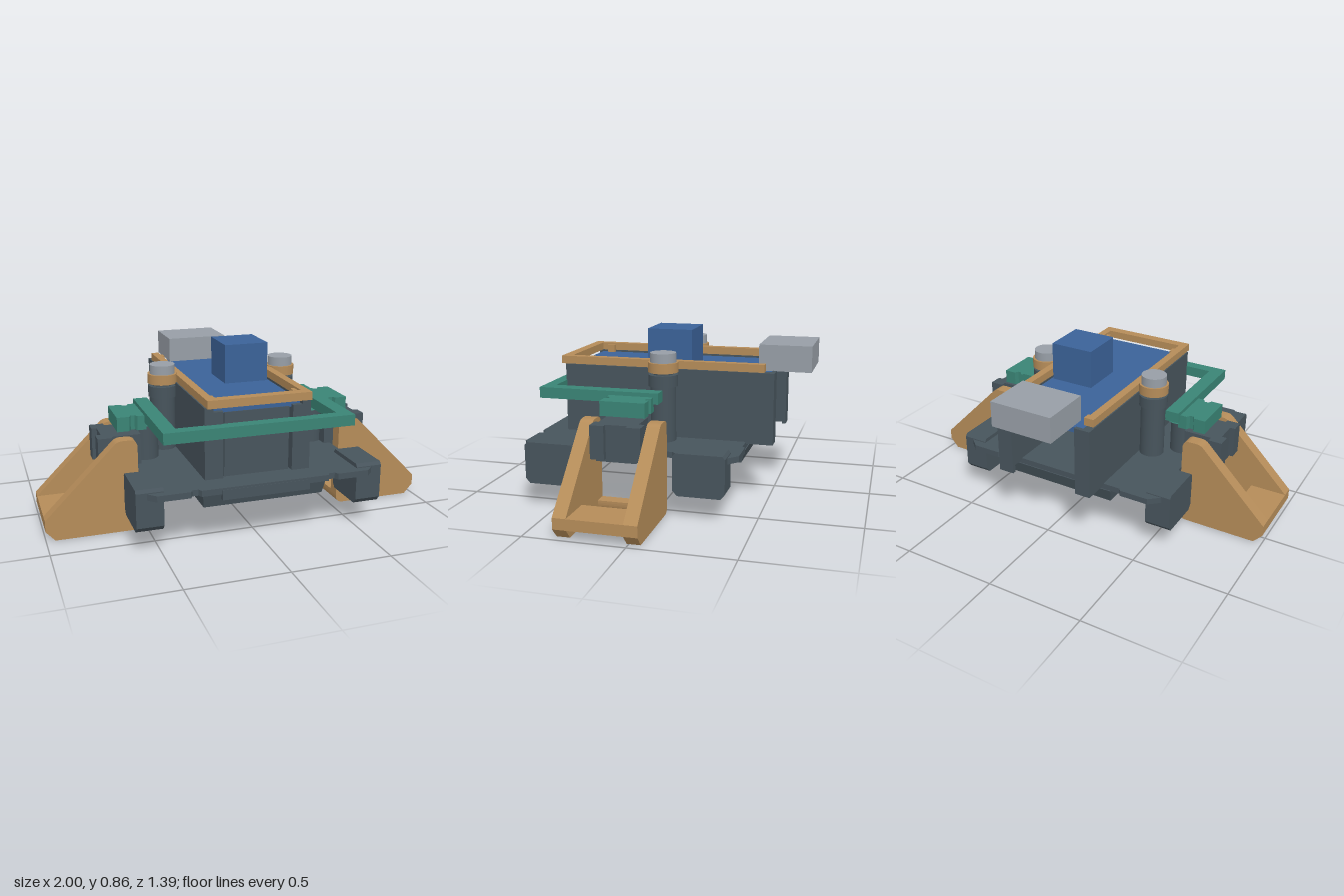
import * as THREE from 'three';

const mat = (name, color) => Object.assign(new THREE.MeshStandardMaterial({ color }), { name });

export function createModel() {
  const root = new THREE.Group();
  root.name = 'deviceAssembly';
  const dark = mat('slate', 0x47545c), tan = mat('tan', 0xb58c59), teal = mat('teal', 0x3a8475);
  const blue = mat('blue', 0x3b6298), grey = mat('grey', 0x979ea6);

  const add = (name, geo, m) => {
    const mesh = new THREE.Mesh(geo, m);
    mesh.name = name;
    root.add(mesh);
    return mesh;
  };
  // Box given by its limits on each axis
  const box = (name, m, x0, x1, y0, y1, z0, z1) => {
    const g = new THREE.BoxGeometry(Math.abs(x1 - x0), y1 - y0, z1 - z0);
    g.translate((x0 + x1) / 2, (y0 + y1) / 2, (z0 + z1) / 2);
    return add(name, g, m);
  };
  const cyl = (name, m, x, z, y0, y1, rTop, rBottom = rTop) => {
    const g = new THREE.CylinderGeometry(rTop, rBottom, y1 - y0, 32);
    g.translate(x, (y0 + y1) / 2, z);
    return add(name, g, m);
  };
  const shapeOf = pts => new THREE.Shape(pts.map(p => new THREE.Vector2(p[0], p[1])));
  const extrude = (shape, depth) =>
    new THREE.ExtrudeGeometry(shape, { depth, bevelEnabled: false, curveSegments: 8 });
  // Plan outline (x, z) extruded between two heights
  const slab = (name, m, pts, y0, y1) => {
    const g = extrude(shapeOf(pts), y1 - y0);
    g.rotateX(Math.PI / 2).translate(0, y1, 0);
    return add(name, g, m);
  };

  // Base plate with winged corners
  const half = [
    [0.32, 0.69], [0.33, 0.67], [0.36, 0.67], [0.37, 0.69], [0.53, 0.69], [0.57, 0.65], [0.62, 0.64],
    [0.62, 0.43], [0.58, 0.42], [0.535, 0.36], [0.535, -0.08], [0.58, -0.14], [0.62, -0.15],
    [0.62, -0.35], [0.57, -0.36], [0.52, -0.405], [0.37, -0.405], [0.36, -0.39]
  ];
  const mirrored = half.map(([x, z]) => [-x, z]).reverse();
  slab('basePlate', dark, [...half, ...mirrored], 0.28, 0.31);

  // Keel below the plate, narrowing towards its bottom
  const keel = new THREE.BoxGeometry(0.62, 0.07, 1.07);
  const kp = keel.attributes.position;
  for (let i = 0; i < kp.count; i++) {
    if (kp.getY(i) < 0) kp.setXYZ(i, kp.getX(i) * 0.97, kp.getY(i), kp.getZ(i) * 0.96);
  }
  keel.translate(0, 0.245, 0.14);
  keel.computeVertexNormals();
  add('keel', keel, dark);
  box('frontLip', dark, -0.22, 0.22, 0.25, 0.3, 0.65, 0.692);
  cyl('undersideBoss', dark, 0, 0.14, 0.203, 0.212, 0.05);
  for (const z of [-0.05, 0.33]) box('undersidePad', dark, -0.06, 0.06, 0.204, 0.212, z - 0.05, z + 0.05);

  // Hollow body, display panel and blocks
  box('frontPanel', dark, -0.165, 0.165, 0.305, 0.63, 0.5, 0.55);
  box('displayPanel', blue, -0.22, 0.22, 0.625, 0.655, -0.5, 0.545);
  box('blueBlock', blue, -0.022, 0.21, 0.65, 0.857, -0.095, 0.138);
  box('greyBlock', grey, -0.166, 0.166, 0.658, 0.79, -0.695, -0.43);

  // U-shaped top frame and front bar of the guard
  box('topFrameFront', tan, -0.262, 0.262, 0.665, 0.705, 0.545, 0.595);
  box('guardFront', teal, -0.48, 0.48, 0.525, 0.58, 0.565, 0.625);

  for (const s of [1, -1]) {
    // Body wall with flanges at both ends
    box('bodyWall', dark, s * 0.225, s * 0.268, 0.3, 0.664, -0.525, 0.57);
    box('frontCorner', dark, s * 0.176, s * 0.268, 0.3, 0.64, 0.48, 0.57);
    box('rearFlange', dark, s * 0.185, s * 0.268, 0.3, 0.664, -0.525, -0.505);

    // Top frame rails and clips
    box('topFrameRail', tan, s * 0.222, s * 0.262, 0.665, 0.705, -0.475, 0.55);
    for (const z of [-0.44, 0.49]) box('frameClip', tan, s * 0.2, s * 0.225, 0.65, 0.695, z - 0.02, z + 0.02);

    // Screw posts
    cyl('post', dark, s * 0.327, 0.023, 0.3, 0.6, 0.064);
    cyl('postCollar', dark, s * 0.327, 0.023, 0.59, 0.648, 0.074);
    cyl('postNeck', dark, s * 0.327, 0.023, 0.645, 0.665, 0.05);
    cyl('frameRing', tan, s * 0.327, 0.023, 0.66, 0.71, 0.076);
    cyl('screwCap', grey, s * 0.327, 0.023, 0.7, 0.757, 0.065);

    // Side column with guard arm and sliding block
    cyl('sideColumn', dark, s * 0.455, 0.14, 0.3, 0.51, 0.068);
    cyl('guardCone', teal, s * 0.445, 0.14, 0.495, 0.555, 0.06, 0.095);
    box('guardArm', teal, s * 0.407, s * 0.48, 0.525, 0.58, 0.005, 0.57);
    slab('guardBlock', teal, [
      [0.47, 0.03], [0.515, 0.03], [0.525, 0.05], [0.545, 0.05], [0.555, 0.03], [0.617, 0.03],
      [0.617, 0.255], [0.555, 0.255], [0.545, 0.235], [0.525, 0.235], [0.515, 0.255], [0.47, 0.255]
    ].map(([x, z]) => [s * x, z]), 0.487, 0.56);

    // Arm that carries the bracket
    box('bracketArm', dark, s * 0.5, s * 0.69, 0.285, 0.465, 0.05, 0.25);
    for (const z of [0.055, 0.235]) box('armLip', dark, s * 0.645, s * 0.717, 0.3, 0.465, z - 0.035, z + 0.035);

    // Corner feet
    for (const z of [0.525, -0.232]) {
      const foot = shapeOf([
        [-0.105, 0.12], [0.105, 0.12], [0.127, 0.145], [0.127, 0.315], [0.115, 0.33],
        [-0.115, 0.33], [-0.127, 0.315], [-0.127, 0.145]
      ]);
      const g = extrude(foot, 0.132);
      g.rotateY(Math.PI / 2).translate(s * 0.555 - 0.066, 0, z);
      add('cornerFoot', g, dark);
    }

    // Triangular side bracket: two cheeks, floor and inner bar
    const cheek = new THREE.Shape();
    cheek.moveTo(s * 0.58, 0);
    cheek.lineTo(s * 0.955, 0);
    cheek.lineTo(s, 0.05);
    cheek.lineTo(s, 0.105);
    cheek.lineTo(s * 0.65, 0.455);
    cheek.quadraticCurveTo(s * 0.635, 0.47, s * 0.61, 0.47);
    cheek.lineTo(s * 0.58, 0.47);
    cheek.quadraticCurveTo(s * 0.538, 0.47, s * 0.538, 0.43);
    cheek.lineTo(s * 0.538, 0.04);
    cheek.quadraticCurveTo(s * 0.538, 0, s * 0.58, 0);
    for (const z of [-0.055, 0.28]) {
      add('bracketCheek', extrude(cheek, 0.066).translate(0, 0, z), tan);
    }
    box('bracketFloor', tan, s * 0.81, s, 0.05, 0.105, 0, 0.29);
    const bar = new THREE.Shape();
    bar.moveTo(s * 0.58, 0);
    bar.quadraticCurveTo(s * 0.605, 0.01, s * 0.605, 0.055);
    bar.lineTo(s * 0.538, 0.055);
    bar.lineTo(s * 0.538, 0.04);
    bar.quadraticCurveTo(s * 0.538, 0, s * 0.58, 0);
    add('bracketInnerBar', extrude(bar, 0.28), tan);
  }
  return root;
}
